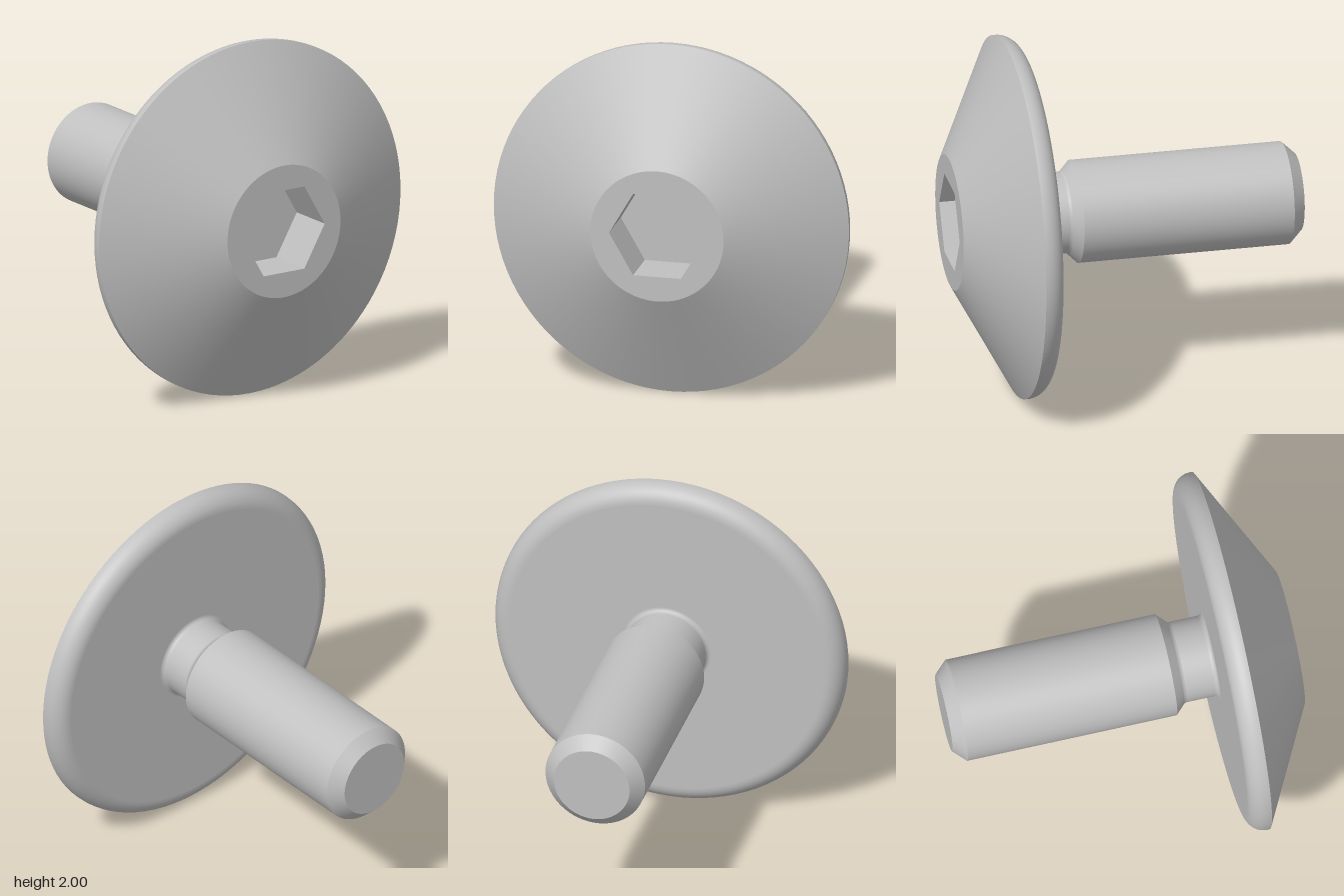
import * as THREE from 'three';
import { toCreasedNormals } from 'three/addons/utils/BufferGeometryUtils.js';

const SEGMENTS = 96;
const FRONT = 0.97;
const HEX_R = 0.27;
const SHAFT_R = 0.283;

// Points of an arc in the (radius, z) profile plane
function arc(cr, cz, rad, from, to, steps = 8) {
  return Array.from({ length: steps + 1 }, (_, i) => {
    const a = from + (to - from) * i / steps;
    return [cr + rad * Math.cos(a), cz + rad * Math.sin(a)];
  });
}

// Revolve a (radius, z) profile about the z axis
function revolve(profile, segments = SEGMENTS, start = 0) {
  const pts = profile.map(([r, z]) => new THREE.Vector2(r, z));
  return new THREE.LatheGeometry(pts, segments, start).rotateX(Math.PI / 2);
}

export function createModel() {
  const group = new THREE.Group();
  group.name = 'socketScrew';
  const steel = new THREE.MeshStandardMaterial({ color: 0xc0c0c0 });
  steel.name = 'steel';

  const add = (name, geometry) => {
    const mesh = new THREE.Mesh(geometry, steel);
    mesh.name = name;
    mesh.position.y = 1;
    group.add(mesh);
  };

  // Revolved sections, from the shaft tip to the head; each keeps its own crisp edges
  const PI = Math.PI;
  const sections = {
    shaftTip: [[0, -0.97], [0.215, -0.97]],
    tipChamfer: [[0.215, -0.97], [SHAFT_R, -0.9]],
    shaft: [[SHAFT_R, -0.9], [SHAFT_R, 0.275]],
    shoulderChamfer: [[SHAFT_R, 0.275], [0.232, 0.326]],
    shoulderFillet: [[0.232, 0.326], [0.227, 0.333], [0.225, 0.342]],
    neck: [[0.225, 0.342], [0.225, 0.5]],
    neckFillet: arc(0.25, 0.5, 0.025, PI, PI / 2),
    headUnderside: [[0.25, 0.525], [0.9, 0.525]],
    headRoundedEdge: arc(0.9, 0.625, 0.1, -PI / 2, 0, 12),
    headRim: [[1, 0.625], [1, 0.64]],
    headCone: [[1, 0.64], [0.375, FRONT]],
  };
  for (const [name, profile] of Object.entries(sections)) add(name, revolve(profile));

  // Flat front face with a hexagonal opening
  const face = new THREE.Shape().absarc(0, 0, 0.375, 0, PI * 2);
  const hex = Array.from({ length: 6 }, (_, i) =>
    new THREE.Vector2(Math.cos(i * PI / 3), Math.sin(i * PI / 3)).multiplyScalar(HEX_R));
  face.holes.push(new THREE.Path(hex));
  add('frontFace', new THREE.ShapeGeometry(face, SEGMENTS / 2).translate(0, 0, FRONT));

  // Hexagonal socket, walls and floor facing inward
  const socket = revolve([[HEX_R, FRONT], [HEX_R, 0.7], [0, 0.7]], 6, PI / 2);
  add('hexSocket', toCreasedNormals(socket, 0.1));

  // Thin oval locking patch wrapped around the +x side of the shaft
  const patch = new THREE.RingGeometry(0, 1, 40, 8);
  const pos = patch.attributes.position;
  const normal = patch.attributes.normal;
  for (let i = 0; i < pos.count; i++) {
    const angle = pos.getY(i) * Math.asin(0.187 / SHAFT_R);
    const z = -0.47 - pos.getX(i) * 0.28;
    const r = SHAFT_R + 0.001;
    pos.setXYZ(i, r * Math.cos(angle), r * Math.sin(angle), z);
    normal.setXYZ(i, Math.cos(angle), Math.sin(angle), 0);
  }
  add('lockingPatch', patch);

  return group;
}
